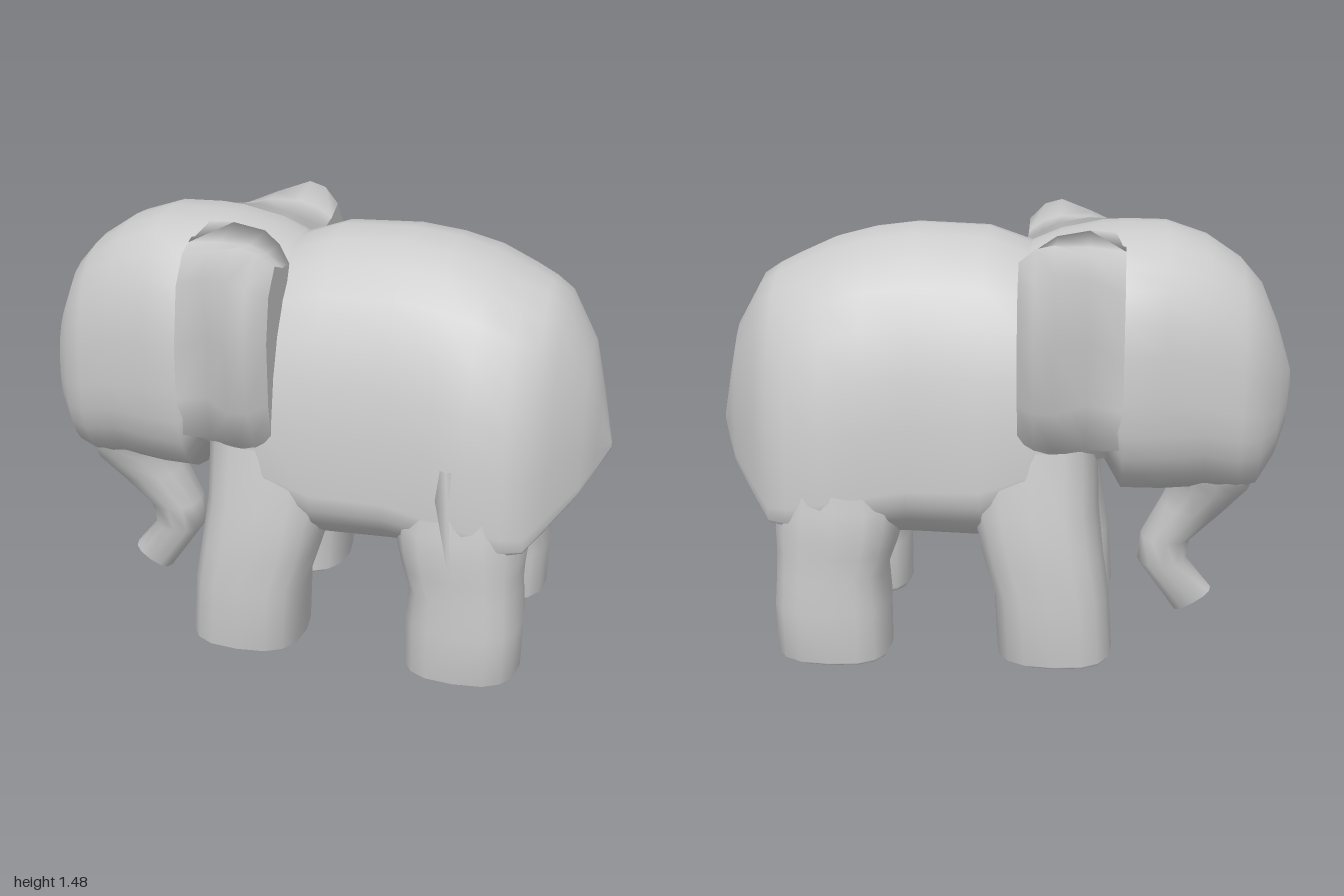
import * as THREE from 'three';

const material = new THREE.MeshStandardMaterial({ color: 0xcccccc, side: THREE.DoubleSide });

// Skins a list of equal-length rings of [x, y, z] points; the listed rings get a sharp-edged cap.
function loft(name, rings, capped) {
  const n = rings[0].length;
  const pos = rings.flat(2), index = [];
  for (let i = 0; i < rings.length - 1; i++) {
    for (let j = 0; j < n; j++) {
      const a = i * n + j, b = i * n + (j + 1) % n;
      index.push(a, b, a + n, b, b + n, a + n);
    }
  }
  for (const i of capped) {
    const r = rings[i], base = pos.length / 3;
    pos.push(...r.flat(), ...[0, 1, 2].map(k => r.reduce((s, p) => s + p[k], 0) / n));
    for (let j = 0; j < n; j++) {
      const a = base + j, b = base + (j + 1) % n;
      if (i) index.push(a, b, base + n);
      else index.push(b, a, base + n);
    }
  }
  // Turn the faces outward if the volume around the middle is negative
  const g = new THREE.BufferGeometry();
  g.setAttribute('position', new THREE.Float32BufferAttribute(pos, 3));
  g.computeBoundingBox();
  const middle = g.boundingBox.getCenter(new THREE.Vector3());
  const v = i => new THREE.Vector3().fromArray(pos, i * 3).sub(middle);
  let volume = 0;
  for (let i = 0; i < index.length; i += 3) {
    volume += v(index[i]).dot(v(index[i + 1]).cross(v(index[i + 2])));
  }
  if (volume < 0) index.reverse();
  g.setIndex(index);
  g.computeVertexNormals();
  const mesh = new THREE.Mesh(g, material);
  mesh.name = name;
  return mesh;
}

// Points on a unit superellipse; a higher power gives a boxier outline, set apart for the lower half
function outline(sides, power, lowerPower = power) {
  return Array.from({ length: sides }, (_, i) => {
    const t = (i / sides) * Math.PI * 2;
    const e = 2 / (i > sides / 2 ? lowerPower : power);
    return [Math.cos(t), Math.sin(t)].map(c => Math.sign(c) * Math.abs(c) ** e);
  });
}

// Torso and head sections: [x, top, bottom, half width, height of the widest line, lower boxiness]
function torso(name, stations, power, capped) {
  return loft(name, stations.map(([x, top, bottom, w, mid, lower]) =>
    outline(28, power, lower).map(([c, s]) => [
      x, mid + s * (s > 0 ? top - mid : mid - bottom), c * w,
    ])), capped);
}

// Leg sections: [y, xFront, xBack, zInner, zOuter], open where they sink into the body
function leg(name, sections, side) {
  const shape = outline(16, 2.7);
  return loft(name, sections.map(([y, x0, x1, z0, z1]) => shape.map(([c, s]) => [
    (x0 + x1) / 2 + c * (x1 - x0) / 2, y, side * ((z0 + z1) / 2 + s * (z1 - z0) / 2),
  ])), [0]);
}

export function createModel() {
  const group = new THREE.Group();
  group.name = 'elephant';

  // Body, ending in a pointed rump with a flat sloping underside
  group.add(torso('body', [
    [-0.25, 1.34, 0.58, 0.40, 0.76, 2.4], [-0.1, 1.40, 0.48, 0.455, 0.7, 2.2],
    [0.05, 1.455, 0.37, 0.45, 0.64, 2], [0.3, 1.465, 0.38, 0.45, 0.64, 2],
    [0.45, 1.445, 0.4, 0.47, 0.62, 2.2], [0.58, 1.41, 0.43, 0.485, 0.6, 2.8],
    [0.7, 1.355, 0.465, 0.455, 0.57, 4], [0.77, 1.32, 0.49, 0.42, 0.56, 6],
    [0.83, 1.28, 0.55, 0.345, 0.61, 6], [0.92, 1.12, 0.645, 0.22, 0.68, 6],
    [0.96, 0.95, 0.69, 0.12, 0.71, 4], [1.0, 0.76, 0.735, 0.01, 0.75, 2],
  ], 2.25, [11]));

  group.add(torso('head', [
    [-1.0, 0.97, 0.88, 0.04, 0.92, 2.3], [-0.985, 1.02, 0.77, 0.1, 0.88, 2.3],
    [-0.95, 1.13, 0.66, 0.18, 0.86, 2.3], [-0.89, 1.27, 0.56, 0.26, 0.86, 2.3],
    [-0.82, 1.35, 0.54, 0.305, 0.88, 2.3], [-0.7, 1.43, 0.55, 0.335, 0.92, 2.3],
    [-0.56, 1.475, 0.55, 0.375, 0.94, 2.5], [-0.42, 1.475, 0.56, 0.41, 0.95, 2.6],
    [-0.34, 1.47, 0.70, 0.38, 1.0, 2.4], [-0.2, 1.44, 0.72, 0.36, 1.03, 2.3],
    [-0.1, 1.40, 0.74, 0.3, 1.05, 2.3],
  ], 2.45, [0]));

  // Trunk sections: [front x, front y, back x, back y, half width]
  const round = outline(12, 2.4);
  group.add(loft('trunk', [
    [-0.9, 0.6, -0.6, 0.61, 0.21], [-0.88, 0.55, -0.61, 0.555, 0.19],
    [-0.79, 0.445, -0.57, 0.47, 0.14], [-0.68, 0.335, -0.5, 0.34, 0.11],
    [-0.665, 0.245, -0.49, 0.24, 0.1], [-0.76, 0.13, -0.625, 0.045, 0.06],
  ].map(([x0, y0, x1, y1, w]) => round.map(([c, s]) => [
    (x0 + x1) / 2 + c * (x1 - x0) / 2, (y0 + y1) / 2 + c * (y1 - y0) / 2, s * w,
  ])), [5]));

  // Ear sections at given x, each a loop of [z, y]; the outer side is hollowed near the front
  const ear = [
    [-0.42, [[0.12, 1.46], [0.24, 1.42], [0.3, 1.4], [0.37, 1.31], [0.41, 1.1], [0.41, 0.92], [0.38, 0.78], [0.25, 0.72], [0.36, 1]]],
    [-0.3, [[0.12, 1.465], [0.27, 1.44], [0.38, 1.44], [0.45, 1.37], [0.41, 1.15], [0.43, 0.95], [0.41, 0.79], [0.3, 0.71], [0.34, 1]]],
    [-0.19, [[0.12, 1.445], [0.28, 1.44], [0.42, 1.475], [0.53, 1.4], [0.565, 1.18], [0.54, 0.95], [0.46, 0.8], [0.35, 0.72], [0.36, 1]]],
    [-0.13, [[0.15, 1.41], [0.29, 1.42], [0.41, 1.46], [0.52, 1.37], [0.55, 1.18], [0.53, 0.95], [0.46, 0.81], [0.36, 0.73], [0.38, 1]]],
    [-0.075, [[0.22, 1.37], [0.3, 1.38], [0.38, 1.41], [0.45, 1.33], [0.48, 1.18], [0.47, 0.96], [0.44, 0.82], [0.38, 0.74], [0.4, 1]]],
  ];
  const frontLeg = [
    [0.01, -0.39, -0.03, 0.13, 0.46], [0.03, -0.4, 0, 0.11, 0.49], [0.25, -0.385, 0.01, 0.12, 0.49],
    [0.38, -0.365, 0.05, 0.09, 0.49], [0.55, -0.345, 0.09, 0.02, 0.48], [0.78, -0.34, 0.1, 0.04, 0.44],
  ];
  const hindLeg = [
    [0, 0.38, 0.75, 0.14, 0.46], [0.02, 0.37, 0.77, 0.12, 0.49], [0.2, 0.37, 0.775, 0.12, 0.49],
    [0.32, 0.38, 0.765, 0.11, 0.49], [0.4, 0.35, 0.765, 0.06, 0.49], [0.47, 0.33, 0.77, 0.0, 0.495],
    [0.56, 0.32, 0.76, 0.0, 0.49], [0.72, 0.36, 0.73, 0.05, 0.465],
  ];
  for (const side of [1, -1]) {
    const word = side > 0 ? 'left' : 'right';
    group.add(loft(word + 'Ear', ear.map(([x, loop]) => loop.map(([z, y]) => [x, y, side * z])), [0, 4]));
    group.add(leg(word + 'FrontLeg', frontLeg, side));
    group.add(leg(word + 'HindLeg', hindLeg, side));
  }

  // Pointed skin fold over the thigh
  group.add(loft('thighFold', [
    [[0.46, 0.8, 0.45], [0.62, 0.8, 0.45], [0.52, 0.8, 0.475]],
    [[0.535, 0.46, 0.48], [0.555, 0.46, 0.48], [0.545, 0.46, 0.515]],
  ], [1]));

  return group;
}
